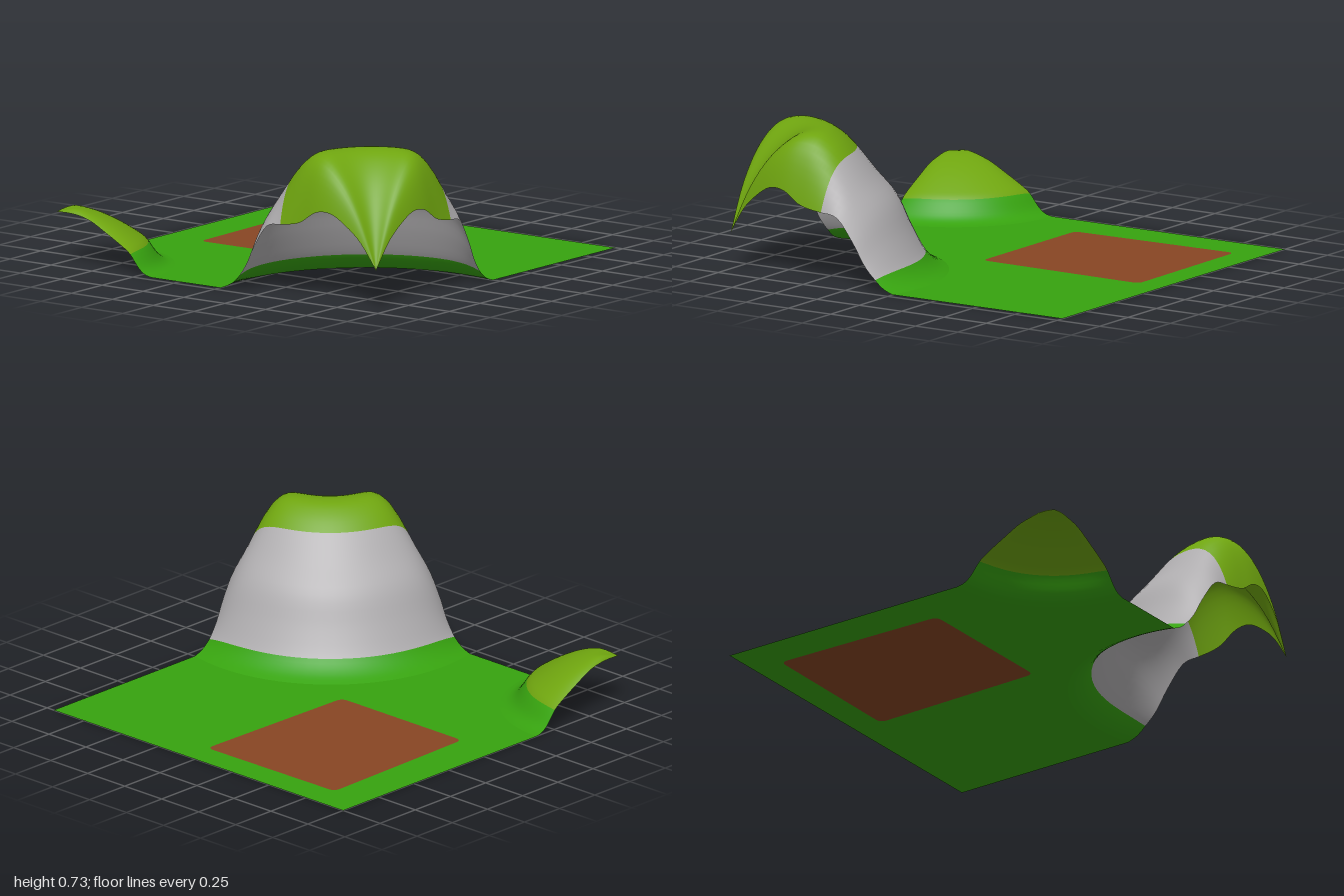
import * as THREE from 'three';

const GROUND_Y = 0.01;
const STEPS = 36; // around each quarter hill
const SUB = 4; // rings between two profile knots

function material(name, color) {
  const m = new THREE.MeshStandardMaterial({ color, side: THREE.DoubleSide });
  m.name = name;
  return m;
}

// Angles are packed closer together near the two cut edges
const angles = Array.from({ length: STEPS + 1 }, (_, i) =>
  (Math.PI / 2) * THREE.MathUtils.smoothstep(i / STEPS, 0, 1));

// Quarter hills growing from a corner of the sheet.
// knots: [radius factor, height on the cut edges, height inside]
const cliff = {
  name: 'cliffHill', cx: -0.955, cz: 0.955, zDir: -1, bulge: 0.045,
  radius: (a) => 0.85 + 0.11 * Math.sin(2 * a),
  knots: [
    [0, 0.21, 0.21], [0.1, 0.34, 0.42], [0.2, 0.42, 0.57], [0.3, 0.47, 0.67],
    [0.4, 0.465, 0.73], [0.5, 0.41, 0.738], [0.58, 0.39, 0.7], [0.655, 0.38, 0.63],
    [0.76, 0.36, 0.5], [0.86, 0.245, 0.38], [0.93, 0.14, 0.23], [1, 0.07, 0.1],
    [1.06, 0.03, 0.04], [1.12, 0.01, 0.01],
  ],
  bands: [0, 7, 11, 13], // knot index where each colour starts and ends
};
const knoll = {
  name: 'grassyKnoll', cx: -0.955, cz: -1, zDir: 1, bulge: 0,
  radius: () => 1,
  knots: [
    [0, 0.27, 0.27], [0.1, 0.27, 0.29], [0.2, 0.25, 0.265], [0.3, 0.2, 0.22],
    [0.4, 0.145, 0.16], [0.45, 0.11, 0.12], [0.5, 0.05, 0.05], [0.54, 0.02, 0.02],
    [0.58, 0.01, 0.01],
  ],
  bands: [0, 5, 8],
};

// Position on a hill for radius factor s and angle a
function hillXZ(h, s, a) {
  const r = s * h.radius(a);
  const out = h.bulge * Math.sin(Math.PI * Math.min(s, 1));
  return [
    h.cx + r * Math.cos(a) - out * Math.sin(a) ** 6,
    h.cz + h.zDir * (r * Math.sin(a) - out * Math.cos(a) ** 6),
  ];
}

function buildHill(h, materials) {
  const edge = new THREE.SplineCurve(h.knots.map((k) => new THREE.Vector2(k[0], k[1])));
  const inside = new THREE.SplineCurve(h.knots.map((k) => new THREE.Vector2(k[0], k[2])));
  const rings = (h.knots.length - 1) * SUB;
  const positions = [];
  const index = [];
  for (let j = 0; j <= rings; j++) {
    const e = edge.getPoint(j / rings);
    const m = inside.getPoint(j / rings);
    for (const a of angles) {
      const w = 1 - (1 - Math.sin(2 * a)) ** 4;
      const [x, z] = hillXZ(h, e.x, a);
      positions.push(x, THREE.MathUtils.lerp(e.y, m.y, w), z);
    }
  }
  const row = STEPS + 1;
  for (let j = 0; j < rings; j++) {
    for (let i = 0; i < STEPS; i++) {
      const p = j * row + i, q = p + 1, r = p + row, s = r + 1;
      if (h.zDir < 0) index.push(p, r, s, p, s, q);
      else index.push(p, s, r, p, q, s);
    }
  }
  const geo = new THREE.BufferGeometry();
  geo.setAttribute('position', new THREE.Float32BufferAttribute(positions, 3));
  geo.setIndex(index);
  geo.computeVertexNormals();
  // One colour band per group of rings
  const perKnot = SUB * STEPS * 6;
  materials.forEach((_, b) => {
    const from = h.bands[b], to = h.bands[b + 1];
    geo.addGroup(from * perKnot, (to - from) * perKnot, b);
  });
  const mesh = new THREE.Mesh(geo, materials);
  mesh.name = h.name;
  return mesh;
}

// Outline of a hill's foot in shape coordinates (y = -z)
function footOutline(h) {
  const last = h.knots[h.knots.length - 1][0];
  return angles.map((a) => {
    const [x, z] = hillXZ(h, last, a);
    return new THREE.Vector2(x, -z);
  });
}

function flatMesh(name, shape, mat) {
  const geo = new THREE.ShapeGeometry(shape, 6);
  geo.rotateX(-Math.PI / 2);
  const mesh = new THREE.Mesh(geo, mat);
  mesh.position.y = GROUND_Y;
  mesh.name = name;
  return mesh;
}

// Rounded, slightly uneven rectangle of bare soil
function soilOutline() {
  const c = [[-0.085, -0.04], [0.85, -0.06], [0.84, 0.79], [-0.085, 0.77]]
    .map(([x, y]) => new THREE.Vector2(x, y));
  const path = new THREE.Shape();
  c.forEach((p, i) => {
    const toward = (q) => p.clone().add(q.clone().sub(p).setLength(0.04));
    const a = toward(c[(i + 3) % 4]);
    const b = toward(c[(i + 1) % 4]);
    if (i === 0) path.moveTo(a.x, a.y);
    else path.lineTo(a.x, a.y);
    path.quadraticCurveTo(p.x, p.y, b.x, b.y);
  });
  path.closePath();
  return path;
}

export function createModel() {
  const grass = material('grass green', 0x37a30f);
  const moss = material('moss lime', 0x6fa50f);
  const rock = material('rock grey', 0xb0aeb0);
  const soil = material('soil brown', 0x884623);

  const model = new THREE.Group();
  model.name = 'terrain';

  // Flat meadow, cut away under both hills and around the soil
  const meadow = new THREE.Shape([
    new THREE.Vector2(1, -0.955),
    new THREE.Vector2(1, 1),
    ...footOutline(knoll),
    ...footOutline(cliff).reverse(),
  ]);
  const patch = soilOutline();
  meadow.holes.push(patch);

  model.add(
    flatMesh('meadow', meadow, grass),
    flatMesh('soilPatch', patch, soil),
    buildHill(cliff, [moss, rock, grass]),
    buildHill(knoll, [moss, grass]),
  );
  return model;
}
